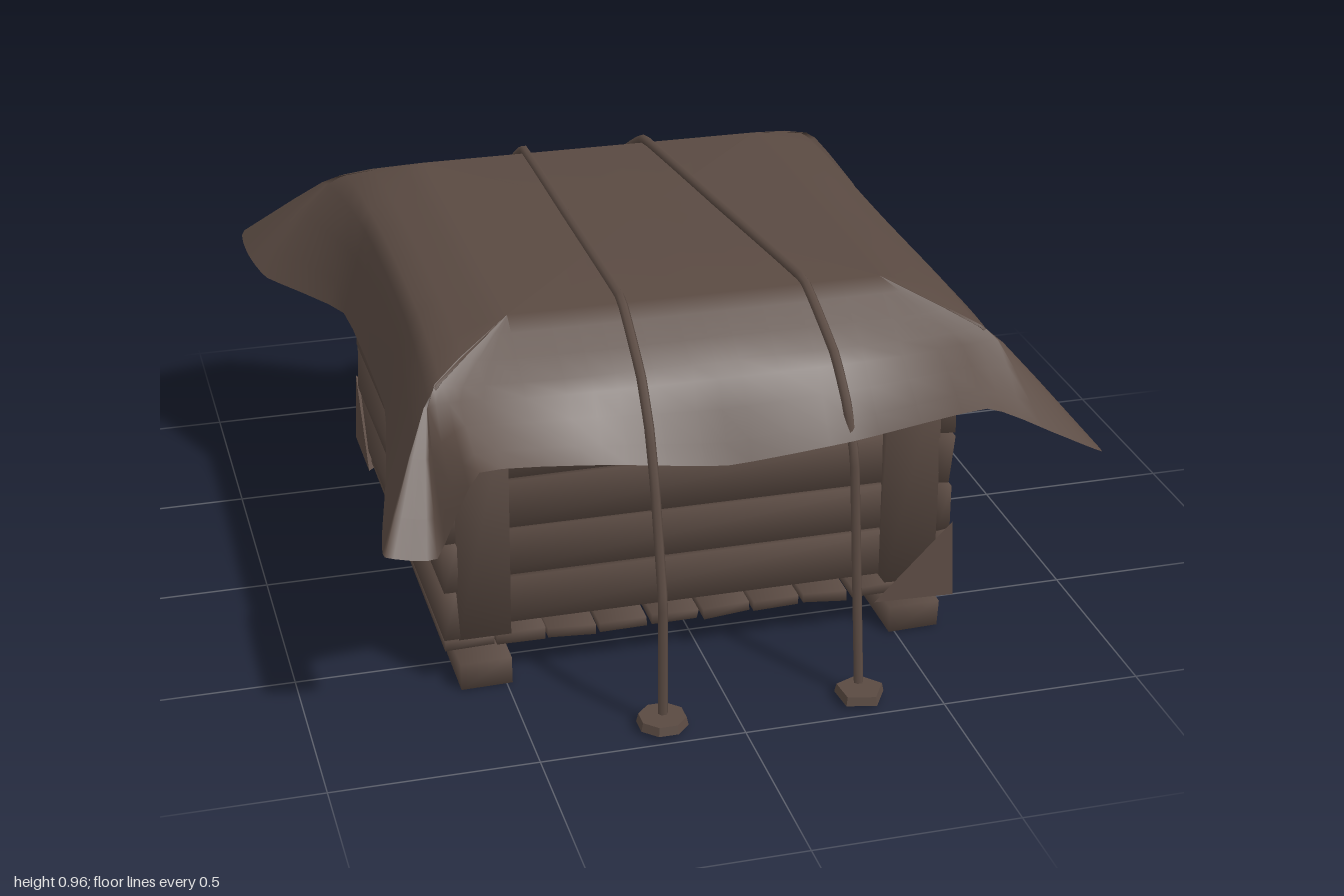
import * as THREE from 'three';
import { mergeVertices } from 'three/addons/utils/BufferGeometryUtils.js';
import { ConvexGeometry } from 'three/addons/geometries/ConvexGeometry.js';

const V = (x, y, z) => new THREE.Vector3(x, y, z);
const clamp = THREE.MathUtils.clamp;

export function createModel() {
  const root = new THREE.Group();
  root.name = 'coveredCrate';
  const brown = new THREE.MeshStandardMaterial({ color: 0x5a4a42, side: THREE.DoubleSide });
  brown.name = 'darkBrown';

  let seed = 7;
  const jitter = (a) => {
    seed = (seed * 16807) % 2147483647;
    return (seed / 2147483647 - 0.5) * 2 * a;
  };

  const add = (name, geometry, parent = root) => {
    const mesh = new THREE.Mesh(geometry, brown);
    mesh.name = name;
    parent.add(mesh);
    return mesh;
  };
  const group = (name) => {
    const g = new THREE.Group();
    g.name = name;
    root.add(g);
    return g;
  };

  // Rough-sawn timber: a box with uneven corners whose normals point out diagonally, so it shades softly
  const timber = (name, size, pos, parent, rough = 0.005) => {
    let g = new THREE.BoxGeometry(...size);
    g.deleteAttribute('normal');
    g.deleteAttribute('uv');
    g = mergeVertices(g);
    const p = g.attributes.position;
    const normals = [];
    for (let i = 0; i < p.count; i++) {
      const c = [p.getX(i), p.getY(i), p.getZ(i)];
      normals.push(...c.map((v) => Math.sign(v) / Math.sqrt(3)));
      p.setXYZ(i, ...c.map((v) => v + jitter(rough)));
    }
    g.setAttribute('normal', new THREE.Float32BufferAttribute(normals, 3));
    const mesh = add(name, g, parent);
    mesh.position.set(...pos);
    return mesh;
  };

  // Skids, floor boards and corner posts
  const base = group('base');
  for (const s of [-1, 1]) {
    timber('skid', [0.13, 0.07, 1.28], [s * 0.55, 0.035, 0], base, 0.002);
    for (const t of [-1, 1]) {
      timber('cornerPost', [0.13, 0.63, 0.05], [s * 0.545, 0.435, t * 0.583], base, 0.003);
    }
  }
  for (let i = 0; i < 10; i++) {
    const board = timber('floorBoard', [0.118, 0.025, 1.21], [-0.585 + i * 0.13, 0.104, 0], base, 0.004);
    board.rotation.z = jitter(0.06);
  }

  // Wall planks, five courses on each side
  const walls = group('walls');
  for (let i = 0; i < 5; i++) {
    const y = 0.185 + i * 0.133;
    for (const s of [-1, 1]) {
      timber('sidePlank', [0.035, 0.126, 1.21], [s * 0.627, y, 0.005], walls);
      timber('endPlank', [1.2, 0.126, 0.03], [0, y, s * 0.543], walls);
    }
  }

  // Corner guards on two opposite corners
  for (const s of [-1, 1]) {
    const guard = [
      [0.65, 0.28, 0.62], [0.45, 0.08, 0.625], [0.655, 0.08, 0.42], [0.655, 0.08, 0.635], [0.6, 0.08, 0.58],
    ].map(([x, y, z]) => V(s * x, y, s * z));
    add('cornerGuard', new ConvexGeometry(guard));
  }

  // Tarpaulin hem, counter-clockwise from the front middle
  const hem = [
    [0, 0.62, 0.82], [0.3, 0.66, 0.85], [0.6, 0.74, 0.92], [0.77, 0.66, 0.93], [0.9, 0.59, 0.92],
    [0.89, 0.6, 0.8], [0.81, 0.64, 0.62], [0.73, 0.65, 0.46], [0.73, 0.63, 0.1], [0.74, 0.56, -0.23],
    [0.71, 0.71, -0.46], [0.79, 0.65, -0.58], [0.85, 0.58, -0.7], [0.91, 0.58, -0.935],
    [0.8, 0.6, -0.95], [0.6, 0.68, -0.92], [0.3, 0.64, -0.82], [0, 0.62, -0.8],
    [-0.3, 0.64, -0.8], [-0.6, 0.7, -0.93], [-0.9, 0.62, -0.93],
    [-0.91, 0.61, -0.77], [-0.88, 0.6, -0.62], [-0.73, 0.64, -0.24], [-0.72, 0.62, 0.3],
    [-0.77, 0.59, 0.6], [-0.82, 0.55, 0.82], [-0.83, 0.54, 0.91], [-0.71, 0.52, 0.91],
    [-0.61, 0.73, 0.92], [-0.3, 0.67, 0.84],
  ].map((p) => V(...p));
  const N = 124, ROWS = 8;
  const rim = new THREE.CatmullRomCurve3(hem, true, 'catmullrom', 0.2).getPoints(N).slice(0, N);

  // Each column drapes from the flat top over the shoulder to the hem
  const pos = [0, 0.937, 0];
  const index = [];
  rim.forEach((r) => {
    const top = V(clamp(r.x, -0.46, 0.46), 0.937, clamp(r.z, -0.5, 0.54));
    const wide = 0.65 + 0.04 * r.z * r.z;
    const sx = clamp(r.x, -wide, wide), sz = clamp(r.z, -0.68, 0.72);
    const end = (sz / 0.72) ** 4, corner = end * (sx / wide) ** 4;
    const shoulder = V(sx, 0.88 - 0.06 * end + 0.02 * corner, sz);
    const fold = new THREE.CatmullRomCurve3([top, shoulder, r], false, 'catmullrom', 0.25);
    fold.getPoints(ROWS - 1).forEach((p) => pos.push(p.x, p.y, p.z));
  });
  const at = (i, k) => 1 + (i % N) * ROWS + k;
  for (let i = 0; i < N; i++) {
    index.push(0, at(i, 0), at(i + 1, 0));
    for (let k = 0; k < ROWS - 1; k++) {
      const a = at(i, k), b = at(i, k + 1), c = at(i + 1, k + 1), d = at(i + 1, k);
      index.push(a, b, c, a, c, d);
    }
  }
  const cloth = new THREE.BufferGeometry();
  cloth.setAttribute('position', new THREE.Float32BufferAttribute(pos, 3));
  cloth.setIndex(index);
  cloth.computeVertexNormals();
  add('tarpaulin', cloth);

  // Ropes over the cover, each tied to a flat ground anchor at both ends
  const over = [
    [0.85, 0.61], [0.8, 0.73], [0.725, 0.83], [0.54, 0.948],
    [0, 0.949], [-0.5, 0.948], [-0.685, 0.84], [-0.775, 0.73], [-0.83, 0.59],
  ];
  const ropes = group('ropes');
  const lines = [
    { front: -0.185, back: -0.185, sides: 8, path: [[0.93, 0.04], [0.925, 0.34], ...over, [-0.93, 0.04]] },
    { front: 0.31, back: 0.1, sides: 5, path: [[0.915, 0.04], ...over, [-0.87, 0.57], [-0.925, 0.04]] },
  ];
  for (const { front, back, sides, path } of lines) {
    const xAt = (z) => THREE.MathUtils.lerp(back, front, (z + 0.93) / 1.85);
    const line = new THREE.CatmullRomCurve3(path.map(([z, y]) => V(xAt(z), y, z)), false, 'catmullrom', 0.1);
    add('rope', new THREE.TubeGeometry(line, 80, 0.012, 6), ropes);
    for (const [x, z, n, h] of [[front, 0.925, sides, 0.022], [back, -0.937, 5, 0.012]]) {
      const disc = new THREE.CylinderGeometry(0.058, 0.063, h, n).toNonIndexed();
      disc.computeVertexNormals();
      const anchor = add('anchor', disc, ropes);
      anchor.position.set(x, 0.02, z);
      anchor.rotation.y = z < 0 ? Math.PI : 0.4;
    }
  }
  return root;
}
